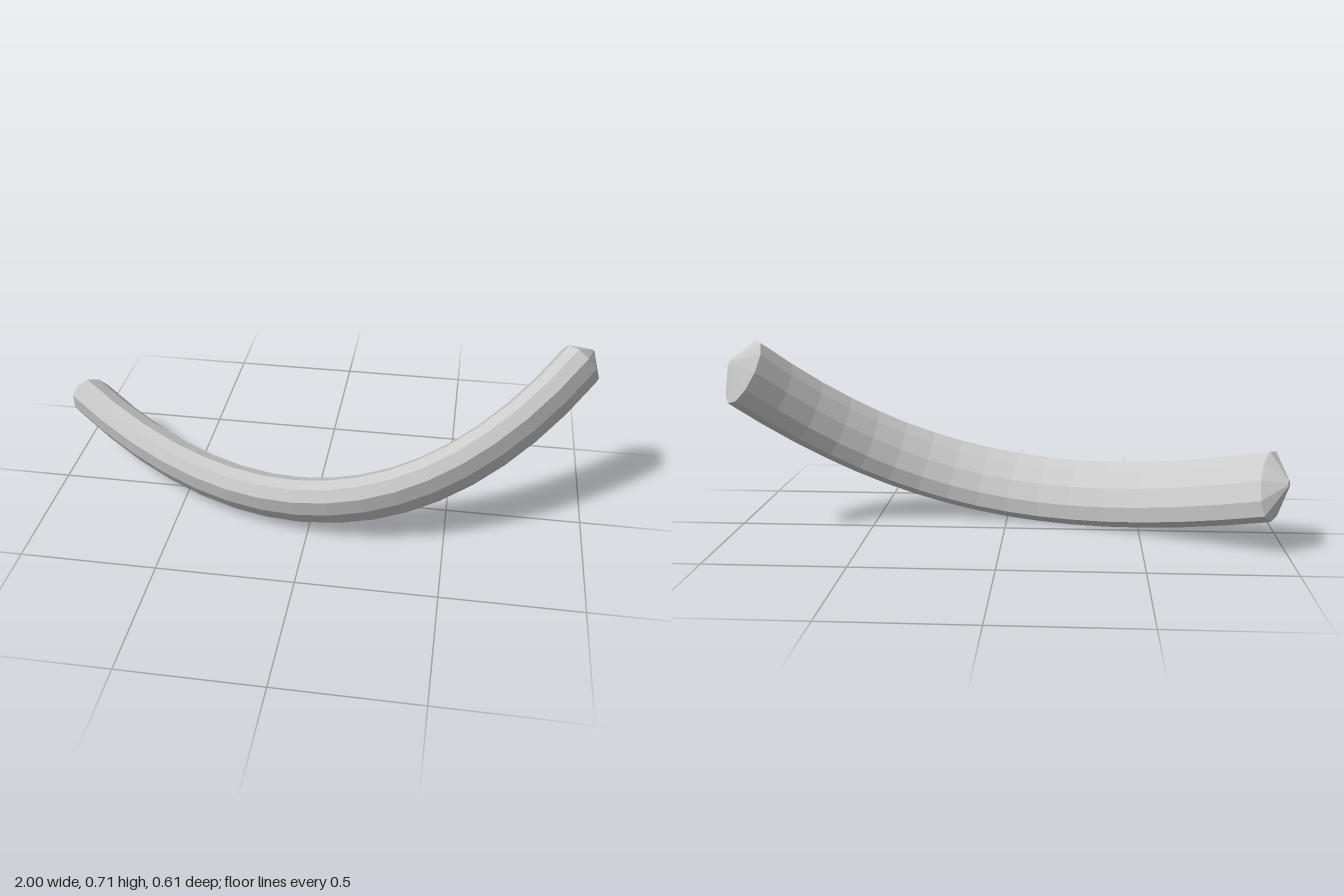
import * as THREE from 'three';

const SIDES = 11, STEPS = 16;
const HALF_HEIGHT = 0.135, HALF_WIDTH = 0.078; // oval section: across and within the bend plane
const TIP_LENGTH = 0.065, TIP_SCALE = 0.09;

export function createModel() {
  const group = new THREE.Group();
  group.name = 'curvedBar';

  // planar centre line
  const start = new THREE.Vector3(-0.945, 0.235, -0.22);
  const control = new THREE.Vector3(0.2, -0.13, 0.571);
  const end = new THREE.Vector3(0.935, 0.605, -0.127);
  const path = new THREE.QuadraticBezierCurve3(start, control, end);
  const normal = control.clone().sub(start).cross(end.clone().sub(start)).normalize();
  if (normal.y < 0) normal.negate();

  // oval ring, square to the centre line
  const positions = [];
  const addRing = (t, offset, scale) => {
    const tangent = path.getTangent(t);
    const centre = path.getPoint(t).addScaledVector(tangent, offset);
    const side = new THREE.Vector3().crossVectors(tangent, normal);
    for (let i = 0; i < SIDES; i++) {
      const a = (i / SIDES) * Math.PI * 2;
      const p = centre.clone()
        .addScaledVector(normal, Math.cos(a) * HALF_HEIGHT * scale)
        .addScaledVector(side, Math.sin(a) * HALF_WIDTH * scale);
      positions.push(p.x, p.y, p.z);
    }
  };

  // blunt pointed tip, body, blunt pointed tip
  addRing(0, -TIP_LENGTH, TIP_SCALE);
  for (let s = 0; s <= STEPS; s++) addRing(s / STEPS, 0, 1);
  addRing(1, TIP_LENGTH, TIP_SCALE);

  // walls between neighbouring rings
  const index = [];
  const last = (STEPS + 2) * SIDES;
  for (let r = 0; r < STEPS + 2; r++) {
    for (let i = 0; i < SIDES; i++) {
      const j = (i + 1) % SIDES;
      const a = r * SIDES + i, b = r * SIDES + j;
      // side = tangent x normal, so increasing angle runs anticlockwise about the tangent... 
      index.push(a, b, b + SIDES, a, b + SIDES, a + SIDES);
    }
  }
  // small flat ends
  for (let i = 1; i < SIDES - 1; i++) {
    index.push(0, i + 1, i);
    index.push(last, last + i, last + i + 1);
  }

  const geometry = new THREE.BufferGeometry();
  geometry.setAttribute('position', new THREE.Float32BufferAttribute(positions, 3));
  geometry.setIndex(index);
  geometry.computeVertexNormals();

  const bar = new THREE.Mesh(
    geometry,
    new THREE.MeshStandardMaterial({ color: 0xcccccc, flatShading: true })
  );
  bar.name = 'bar';
  group.add(bar);
  return group;
}
